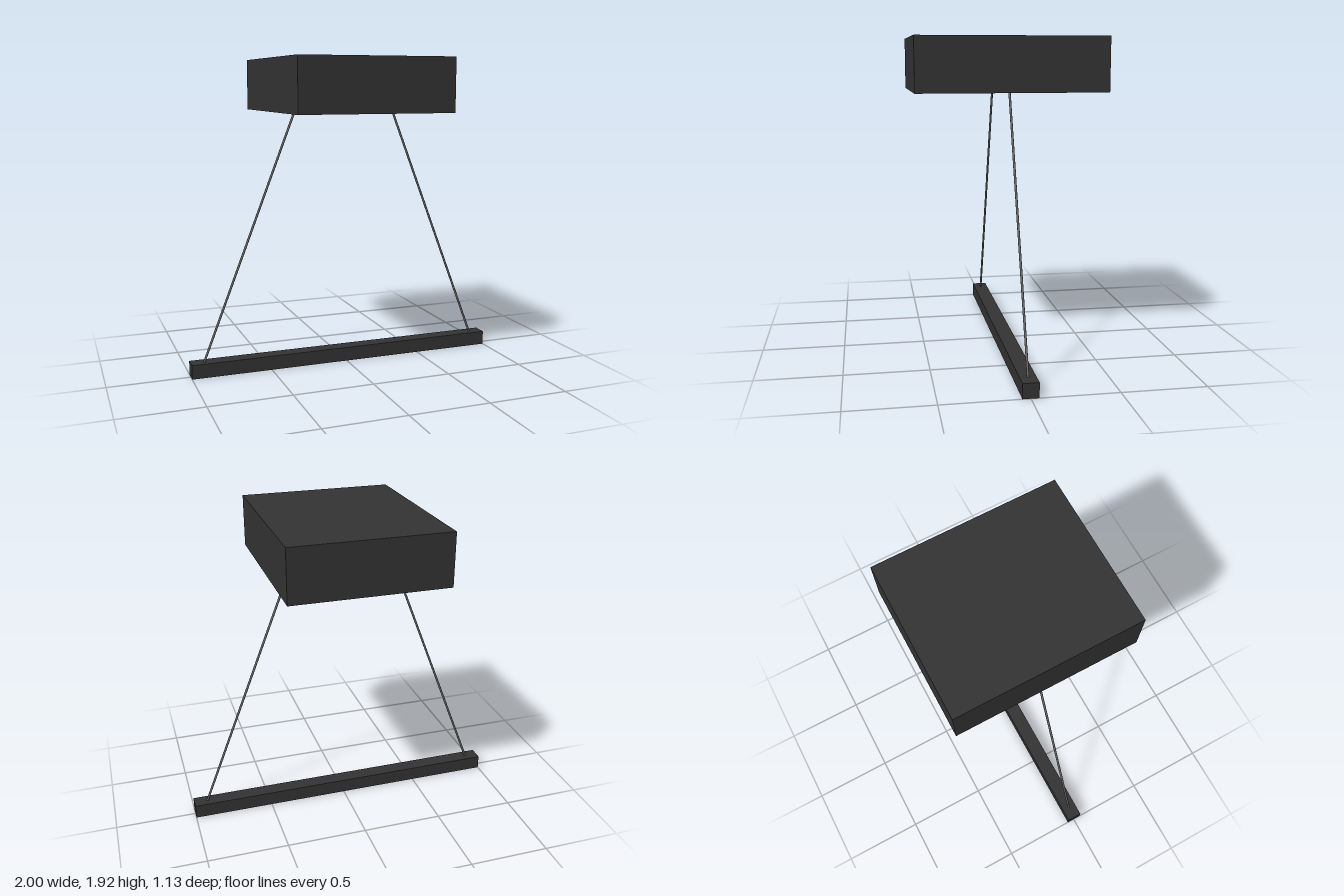
import * as THREE from 'three';

export function createModel() {
  const group = new THREE.Group();
  const dark = new THREE.MeshStandardMaterial({ color: 0x333333 });
  const wire = new THREE.MeshStandardMaterial({ color: 0x666666 });

  const addBox = (name, w, h, d, bottom) => {
    const mesh = new THREE.Mesh(new THREE.BoxGeometry(w, h, d), dark);
    mesh.name = name;
    mesh.position.y = bottom + h / 2;
    group.add(mesh);
  };

  // Upper housing and lower crossbar
  addBox('housing', 0.954, 0.322, 1.126, 1.603);
  addBox('crossbar', 2, 0.088, 0.094, 0);

  // Slanted rods joining the crossbar to the housing, ends slightly sunk in
  for (const side of [1, -1]) {
    const low = new THREE.Vector3(side * 0.918, 0.08, 0);
    const high = new THREE.Vector3(side * 0.322, 1.61, 0);
    const dir = high.clone().sub(low);
    const rod = new THREE.Mesh(new THREE.CylinderGeometry(0.007, 0.007, dir.length(), 16), wire);
    rod.name = side > 0 ? 'leftRod' : 'rightRod';
    rod.position.copy(low).add(high).multiplyScalar(0.5);
    rod.quaternion.setFromUnitVectors(new THREE.Vector3(0, 1, 0), dir.normalize());
    group.add(rod);
  }

  return group;
}
